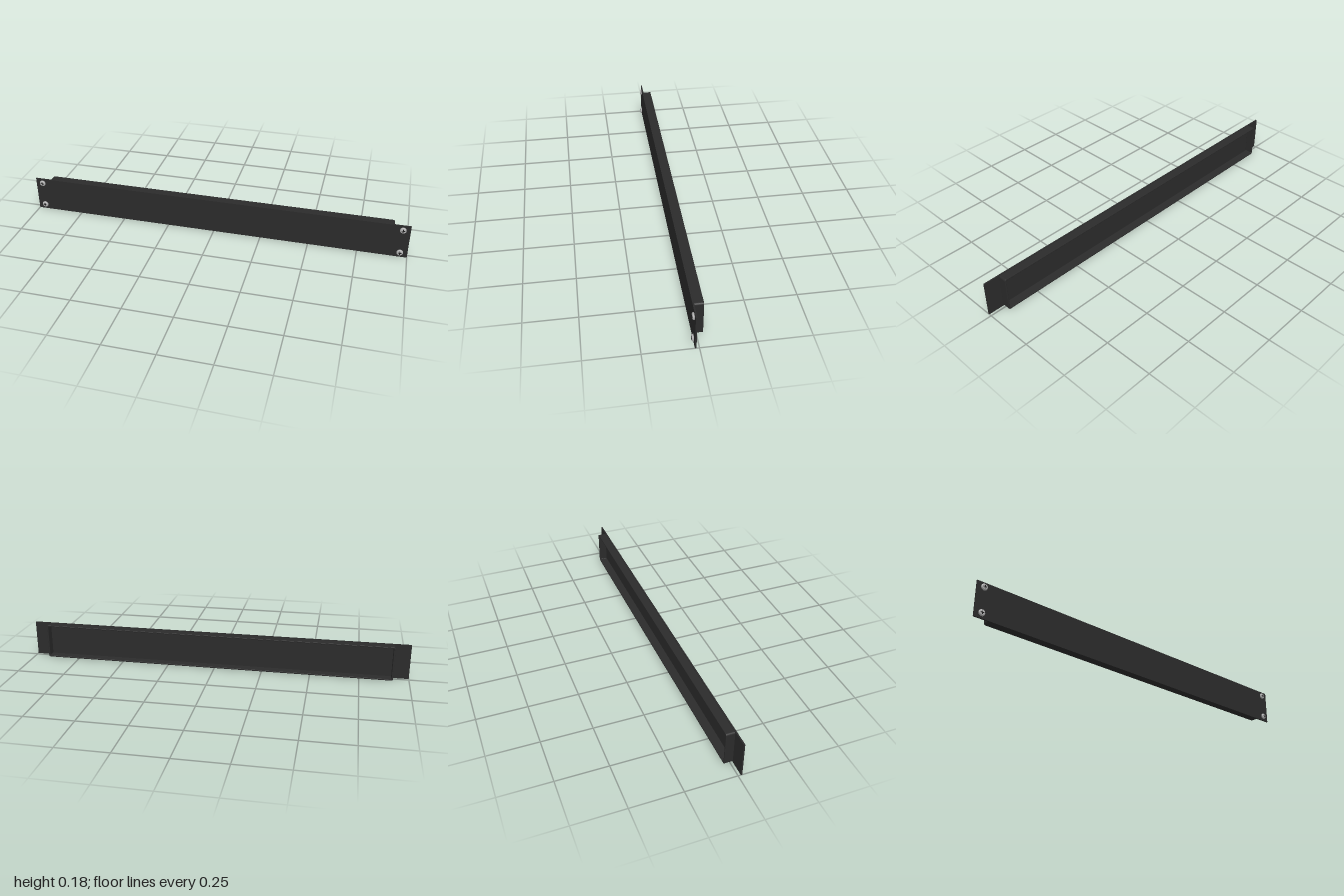
import * as THREE from 'three';

const WIDTH = 2, HEIGHT = 0.183, MID = HEIGHT / 2;

// Traces a rounded rectangle, centred on the origin, onto a Shape or Path
function roundedRect(path, w, h, r) {
  const x = w / 2, y = h / 2;
  path.moveTo(-x + r, -y);
  path.lineTo(x - r, -y);
  path.absarc(x - r, -y + r, r, -Math.PI / 2, 0);
  path.lineTo(x, y - r);
  path.absarc(x - r, y - r, r, 0, Math.PI / 2);
  path.lineTo(-x + r, y);
  path.absarc(-x + r, y - r, r, Math.PI / 2, Math.PI);
  path.lineTo(-x, -y + r);
  path.absarc(-x + r, -y + r, r, Math.PI, Math.PI * 1.5);
  return path;
}

export function createModel() {
  const model = new THREE.Group();
  model.name = 'blankRackPanel';
  const blackPaint = new THREE.MeshStandardMaterial({ color: 0x2b2b2b });
  blackPaint.name = 'blackPaint';
  const steel = new THREE.MeshStandardMaterial({ color: 0xb4b4b4 });
  steel.name = 'steel';
  const darkRecess = new THREE.MeshStandardMaterial({ color: 0x1c1c1c });
  darkRecess.name = 'darkRecess';

  const add = (parent, name, geometry, material, x, y, z) => {
    const mesh = new THREE.Mesh(geometry, material);
    mesh.name = name;
    mesh.position.set(x, y, z);
    parent.add(mesh);
    return mesh;
  };

  // Front plate with mounting ears
  add(model, 'frontPlate', new THREE.BoxGeometry(WIDTH, HEIGHT, 0.007), blackPaint, 0, MID, 0.0165);

  // Folded flange behind the plate, open at the back
  const bevel = 0.002;
  const outline = roundedRect(new THREE.Shape(), 1.84 - 2 * bevel, 0.18 - 2 * bevel, 0.008);
  outline.holes.push(roundedRect(new THREE.Path(), 1.828 + 2 * bevel - 0.004, 0.168 + 2 * bevel - 0.004, 0.005));
  const flange = new THREE.ExtrudeGeometry(outline, {
    depth: 0.04, bevelEnabled: true, bevelThickness: bevel, bevelSize: bevel, bevelSegments: 2, curveSegments: 6,
  });
  add(model, 'rearFlange', flange, blackPaint, 0, MID, -0.028);

  // Pan-head screws with cross recesses, one in each corner
  const headProfile = [[0, 0], [0.016, 0], [0.016, 0.005], [0.0145, 0.0075], [0.011, 0.009], [0, 0.0095]]
    .map(([r, h]) => new THREE.Vector2(r, h));
  const headGeometry = new THREE.LatheGeometry(headProfile, 24);
  const slotGeometry = new THREE.BoxGeometry(0.018, 0.004, 0.002);
  for (const x of [-0.963, 0.963]) {
    for (const y of [0.027, 0.158]) {
      const screw = new THREE.Group();
      screw.name = 'screw';
      screw.position.set(x, y, 0.02);
      add(screw, 'screwHead', headGeometry, steel, 0, 0, 0).rotation.x = Math.PI / 2;
      add(screw, 'crossRecessA', slotGeometry, darkRecess, 0, 0, 0.009);
      add(screw, 'crossRecessB', slotGeometry, darkRecess, 0, 0, 0.009).rotation.z = Math.PI / 2;
      model.add(screw);
    }
  }
  return model;
}
